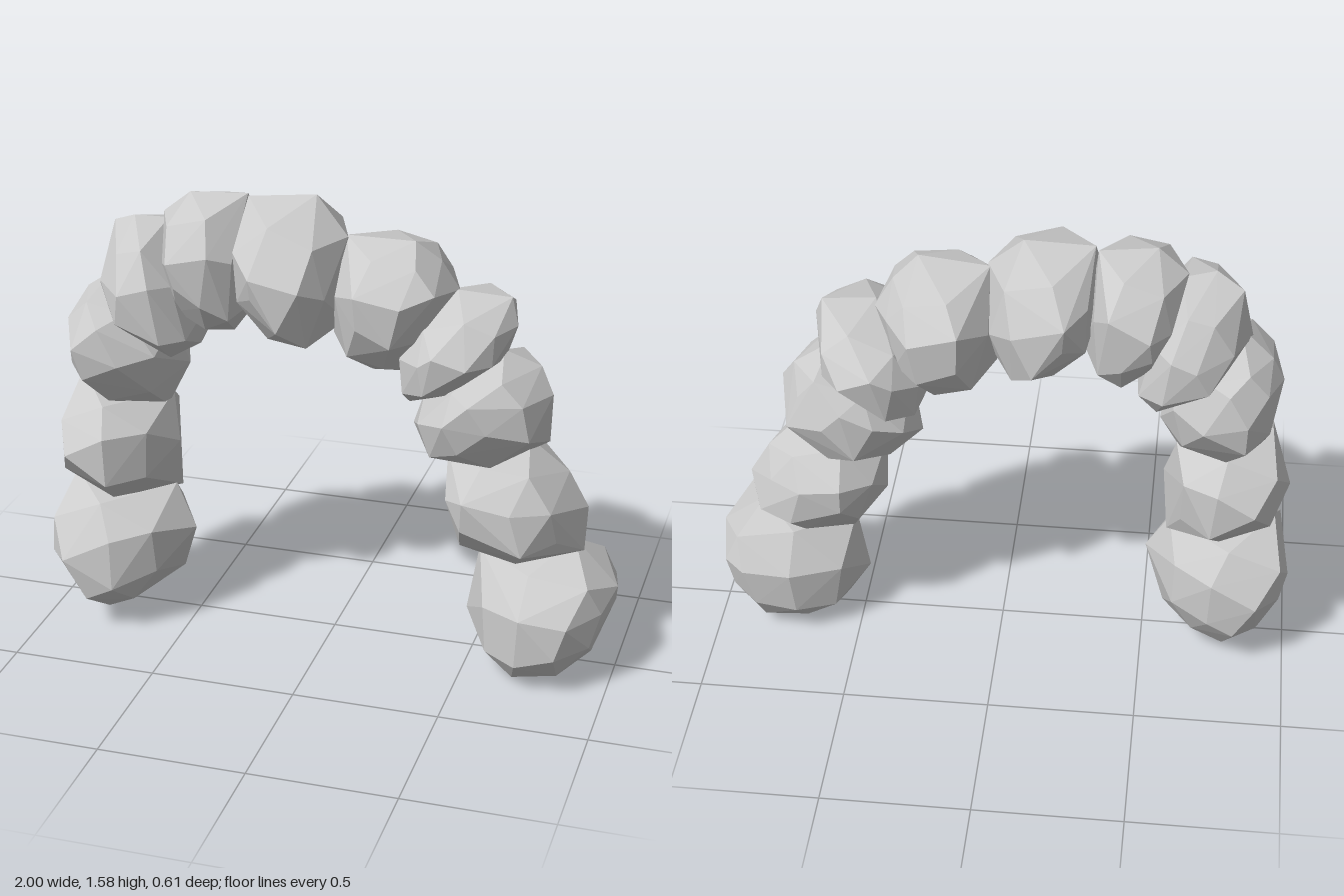
import * as THREE from 'three';
import { ConvexGeometry } from 'three/addons/geometries/ConvexGeometry.js';

const ARCH_CENTRE = new THREE.Vector2(-0.05, 0.55);

function seeded(seed) {
  let s = seed * 7919 + 17;
  return () => (s = (s * 16807) % 2147483647) / 2147483647;
}

// Faceted boulder: a widest section at mid depth, then two shrinking rings
// towards the front and the back, wrapped in a convex hull. The rings shrink
// more across the arch than along it; bias moves them away from its centre.
function boulderGeometry(outline, zBack, zFront, bias, rand) {
  const ring = outline.map(([x, y]) => new THREE.Vector2(x, y));
  const centre = new THREE.Box2().setFromPoints(ring).getCenter(new THREE.Vector2());
  const radial = centre.clone().sub(ARCH_CENTRE).normalize();
  const along = new THREE.Vector2(-radial.y, radial.x);
  const wobble = (amount) => (rand() - 0.5) * amount;
  const points = ring.map((p) => new THREE.Vector3(p.x, p.y, wobble(0.08)));

  const addShrunk = (p, across, length, shift, z) => {
    const d = p.clone().sub(centre);
    const q = centre.clone()
      .addScaledVector(radial, d.dot(radial) * across + shift)
      .addScaledVector(along, d.dot(along) * length);
    points.push(new THREE.Vector3(q.x, q.y, z));
  };

  for (const depth of [zBack, zFront]) {
    ring.forEach((p, i) => {
      // shoulder ring, its corners halfway between those of the section
      const q = p.clone().lerp(ring[(i + 1) % ring.length], 0.5);
      const s = wobble(0.1);
      addShrunk(q, 0.81 + s, 0.92 + s, bias / 2, depth * (0.62 + wobble(0.14)));
      // small cap
      if (i % 2 === 0) {
        const c = wobble(0.16);
        addShrunk(p, 0.36 + c, 0.5 + c, bias, depth * (i === 0 ? 1 : 0.95 + wobble(0.08)));
      }
    });
  }
  return new ConvexGeometry(points);
}

export function createModel() {
  const arch = new THREE.Group();
  arch.name = 'rockArch';
  const stone = new THREE.MeshStandardMaterial({ color: 0xcccccc, flatShading: true });

  const addBoulder = (name, zBack, zFront, bias, outline) => {
    const rand = seeded(arch.children.length + 1);
    const boulder = new THREE.Mesh(boulderGeometry(outline, zBack, zFront, bias, rand), stone);
    boulder.name = name;
    arch.add(boulder);
  };

  // Right leg, from the ground up
  addBoulder('rightFootBoulder', -0.23, 0.3, 0.05,
    [[-1, 0.29], [-0.94, 0.5], [-0.58, 0.48], [-0.5, 0.33], [-0.57, 0.14], [-0.71, 0.04], [-0.84, 0.03], [-0.97, 0.22]]);
  addBoulder('rightShinBoulder', -0.24, 0.3, 0.03,
    [[-0.98, 0.68], [-0.91, 0.88], [-0.59, 0.82], [-0.55, 0.66], [-0.57, 0.46], [-0.88, 0.46]]);
  addBoulder('rightUpperBoulder', -0.26, 0.28, 0.02,
    [[-0.93, 1.1], [-0.89, 1.18], [-0.78, 1.26], [-0.56, 1.1], [-0.53, 0.93], [-0.6, 0.78], [-0.88, 0.83]]);

  // Span, from right to left
  addBoulder('rightShoulderBoulder', -0.27, 0.3, -0.05,
    [[-0.78, 1.43], [-0.69, 1.47], [-0.58, 1.46], [-0.44, 1.17], [-0.46, 1.04], [-0.56, 1.0], [-0.82, 1.22]]);
  addBoulder('rightCrownBoulder', -0.28, 0.24, 0,
    [[-0.6, 1.48], [-0.5, 1.56], [-0.31, 1.56], [-0.27, 1.2], [-0.34, 1.1], [-0.44, 1.11], [-0.55, 1.25]]);
  addBoulder('keyBoulder', -0.27, 0.29, -0.03,
    [[-0.3, 1.56], [-0.07, 1.58], [0.05, 1.46], [0.03, 1.15], [-0.1, 1.07], [-0.27, 1.16], [-0.32, 1.36]]);
  addBoulder('leftCrownBoulder', -0.29, 0.25, 0.02,
    [[0.04, 1.46], [0.28, 1.47], [0.36, 1.4], [0.42, 1.3], [0.26, 1.02], [0.13, 0.99], [0, 1.12]]);
  addBoulder('leftShoulderBoulder', -0.31, 0.28, -0.02,
    [[0.42, 1.31], [0.6, 1.3], [0.63, 1.22], [0.58, 1.08], [0.27, 0.91], [0.23, 1.03], [0.26, 1.18]]);

  // Left leg, from the top down
  addBoulder('leftUpperBoulder', -0.25, 0.28, -0.01,
    [[0.58, 1.12], [0.7, 1.06], [0.75, 0.98], [0.74, 0.8], [0.42, 0.71], [0.27, 0.81], [0.32, 0.95]]);
  addBoulder('leftShinBoulder', -0.23, 0.29, -0.03,
    [[0.4, 0.74], [0.68, 0.82], [0.81, 0.7], [0.88, 0.58], [0.88, 0.44], [0.52, 0.38], [0.4, 0.55]]);
  addBoulder('leftFootBoulder', -0.22, 0.3, 0.05,
    [[0.52, 0.4], [0.84, 0.46], [1, 0.32], [0.99, 0.25], [0.92, 0.06], [0.75, 0], [0.56, 0.03], [0.48, 0.16]]);
  return arch;
}
